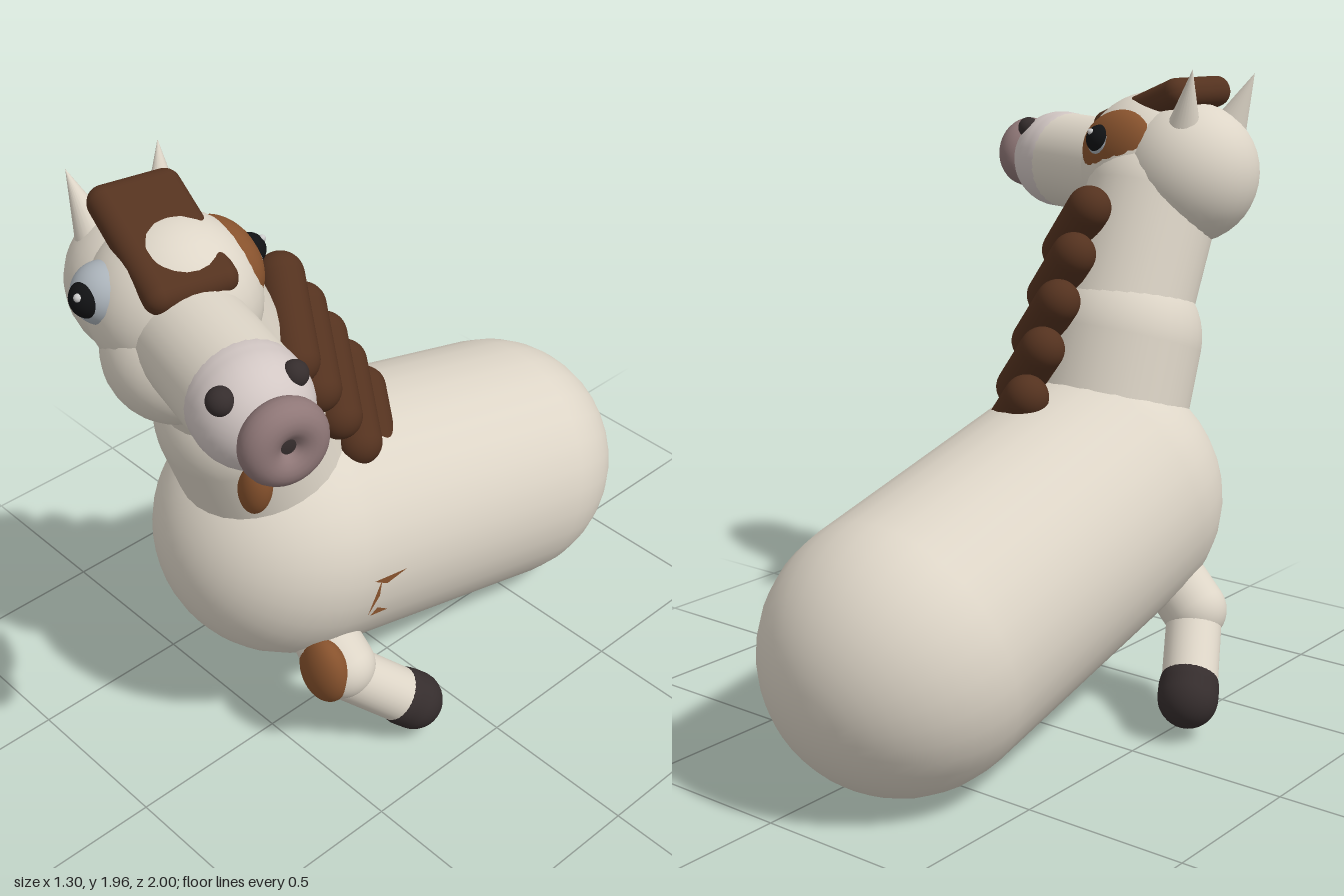
import * as THREE from 'three';
import { RoundedBoxGeometry } from 'three/addons/geometries/RoundedBoxGeometry.js';

const paint = (color) => new THREE.MeshStandardMaterial({ color });
const V = (p) => new THREE.Vector3(...p);
const UP = new THREE.Vector3(0, 1, 0);

export function createModel() {
  const model = new THREE.Group();
  const cream = paint(0xddd5c7), tan = paint(0x87522d), brown = paint(0x54321f);
  const dark = paint(0x352d2d), pink = paint(0x8f7777), pale = paint(0xd2c7c4);
  const eyeGrey = paint(0xa9b1b8), black = paint(0x111214), white = paint(0xffffff);

  const add = (name, geometry, material, pos) => {
    const mesh = new THREE.Mesh(geometry, material);
    mesh.name = name;
    mesh.position.set(...pos);
    model.add(mesh);
    return mesh;
  };
  // Ellipsoid from a centre and one radius or three
  const ball = (name, pos, r, material) => {
    const mesh = add(name, new THREE.SphereGeometry(1, 32, 20), material, pos);
    mesh.scale.set(...(Array.isArray(r) ? r : [r, r, r]));
    return mesh;
  };
  // Capsule whose end spheres are centred on a and b
  const capsule = (name, a, b, r, material) => {
    const dir = V(b).sub(V(a));
    const mid = V(a).add(V(b)).multiplyScalar(0.5);
    const mesh = add(name, new THREE.CapsuleGeometry(r, dir.length(), 12, 32), material, mid.toArray());
    mesh.quaternion.setFromUnitVectors(UP, dir.normalize());
    return mesh;
  };

  // Body and neck
  const cx = -0.125;
  capsule('body', [cx, 0.405, -0.595], [cx, 0.65, 0.305], 0.405, cream);
  capsule('lowerNeck', [cx, 0.85, 0.36], [cx, 1.13, 0.455], 0.25, cream);
  capsule('upperNeck', [-0.12, 1.15, 0.44], [-0.12, 1.55, 0.62], 0.212, cream);

  // Head, turned towards the model's left
  ball('headBack', [-0.22, 1.63, 0.67], 0.22, cream);
  ball('forehead', [-0.08, 1.64, 0.69], 0.235, cream);
  ball('jaw', [-0.025, 1.53, 0.735], 0.2, cream);
  capsule('snout', [0, 1.61, 0.73], [0.4, 1.62, 0.835], 0.157, cream);
  capsule('muzzle', [0.38, 1.62, 0.83], [0.4, 1.62, 0.836], 0.159, pale);

  // Round mouth with a dark opening
  const facing = new THREE.Vector3(0.97, 0.02, 0.24).normalize();
  const lips = add('lips', new THREE.TorusGeometry(0.065, 0.052, 20, 40), pink, [0.572, 1.63, 0.882]);
  const mouth = add('mouthOpening', new THREE.SphereGeometry(0.05, 24, 16), dark, [0.575, 1.63, 0.883]);
  for (const m of [lips, mouth]) m.quaternion.setFromUnitVectors(new THREE.Vector3(0, 0, 1), facing);
  mouth.scale.z = 0.5;
  ball('nostril', [0.435, 1.71, 0.955], 0.037, dark);
  ball('nostril', [0.487, 1.725, 0.768], 0.035, dark);

  // Eyes, one of them on a tan patch
  ball('rightEyeball', [-0.135, 1.71, 0.87], 0.085, eyeGrey);
  ball('rightPupil', [-0.13, 1.717, 0.917], 0.053, black);
  ball('rightGlint', [-0.118, 1.74, 0.957], 0.012, white);
  ball('eyePatch', [-0.06, 1.695, 0.55], [0.15, 0.13, 0.09], tan);
  ball('leftEyeball', [-0.015, 1.725, 0.515], 0.06, eyeGrey);
  ball('leftPupil', [-0.008, 1.735, 0.49], 0.045, black);
  ball('leftGlint', [0.005, 1.76, 0.456], 0.01, white);

  // Pointed ears
  for (const [base, tip] of [
    [[-0.305, 1.77, 0.765], [-0.378, 1.937, 0.785]],
    [[-0.26, 1.77, 0.57], [-0.312, 1.957, 0.535]],
  ]) {
    const dir = V(tip).sub(V(base));
    const mid = V(tip).add(V(base)).multiplyScalar(0.5);
    const ear = add('ear', new THREE.ConeGeometry(0.055, dir.length(), 24), cream, mid.toArray());
    ear.quaternion.setFromUnitVectors(UP, dir.normalize());
  }

  // Forelock slab that the forehead pokes through
  const forelock = add('forelock', new RoundedBoxGeometry(0.42, 0.095, 0.26, 5, 0.045), brown, [-0.085, 1.82, 0.71]);
  forelock.rotation.set(0, -0.22, -0.36, 'YXZ');

  // Mane: slanting rolls stepping down the neck
  for (let i = 0; i < 5; i++) {
    const y = -0.133 * i, z = -0.077 * i;
    capsule('maneRoll', [-0.09, 1.545 + y, 0.32 + z], [0.075, 1.39 + y, 0.415 + z], 0.068, brown);
  }

  // Tan spots on the neck and the flank
  ball('neckSpot', [0.078, 1.045, 0.58], [0.052, 0.097, 0.048], tan).rotation.z = -0.15;
  const flank = tan.clone();
  flank.side = THREE.DoubleSide;
  for (const zy of [
    [[0.35, 0.55], [0.29, 0.655], [0.3, 0.6]],
    [[0.32, 0.665], [0.19, 0.64], [0.27, 0.63]],
    [[0.34, 0.545], [0.27, 0.53], [0.31, 0.56]],
  ]) {
    const shape = new THREE.Shape(zy.map(([z, y]) => new THREE.Vector2(-z, y)));
    add('flankMark', new THREE.ShapeGeometry(shape), flank, [0.284, 0, 0]).rotation.y = Math.PI / 2;
  }

  // Front legs with dark hooves, mirrored about the body's centre line
  for (const [side, s] of [['left', 1], ['right', -1]]) {
    const at = (dx, y, z) => [cx + s * dx, y, z];
    capsule(side + 'Thigh', at(0.27, 0.39, 0.39), at(0.335, 0.325, 0.385), 0.1, cream);
    capsule(side + 'Shin', at(0.35, 0.28, 0.36), at(0.44, 0.13, 0.2), 0.085, cream);
    capsule(side + 'Hoof', at(0.43, 0.145, 0.215), at(0.443, 0.123, 0.19), 0.091, dark);
  }
  ball('thighSpot', [0.2, 0.345, 0.45], [0.09, 0.115, 0.06], tan);

  return model;
}
